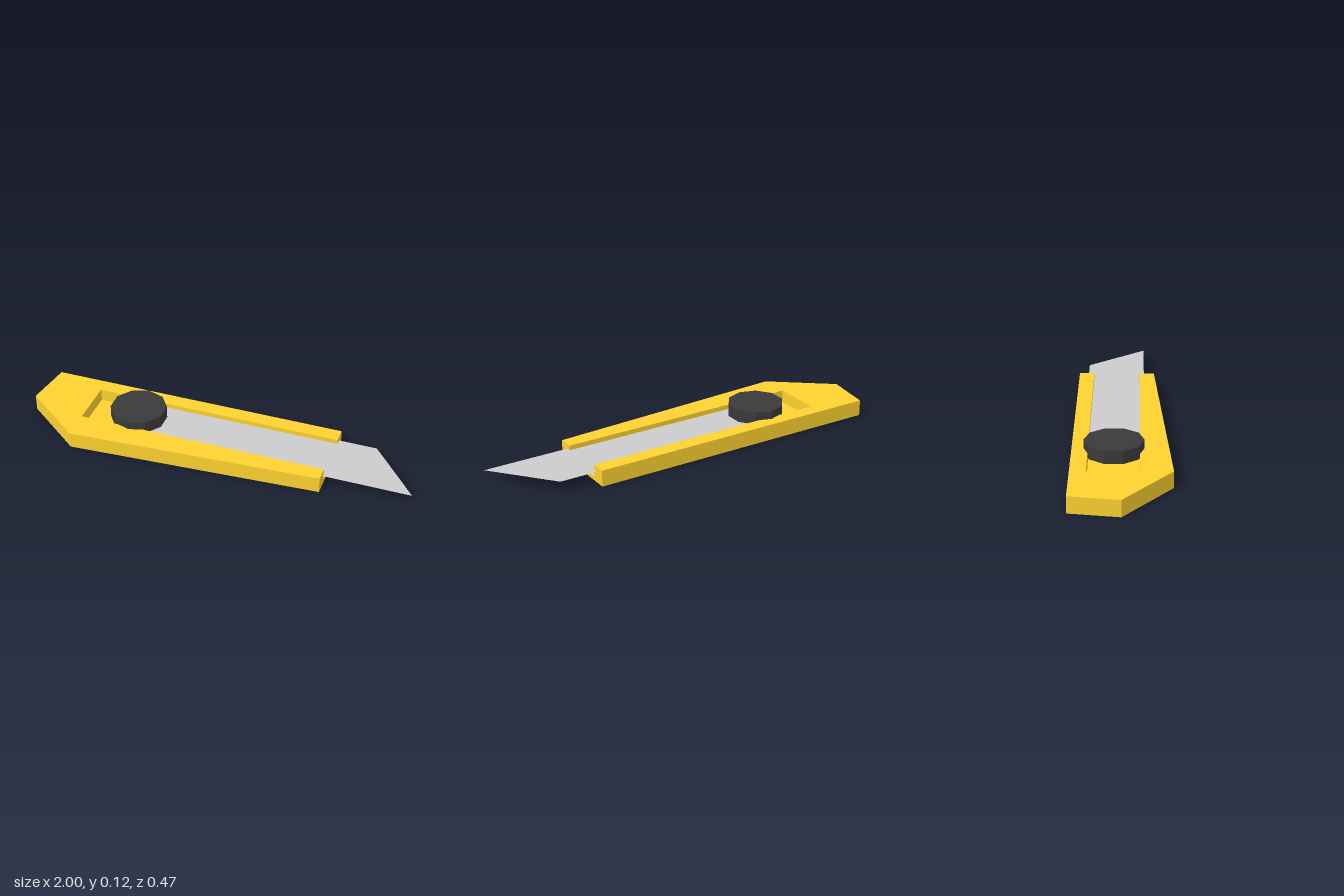
import * as THREE from 'three';

// Shape from [x, z] corners; lies flat after layFlat()
const outline = (pts) => new THREE.Shape(pts.map(([x, z]) => new THREE.Vector2(x, -z)));
const layFlat = (geometry) => geometry.rotateX(-Math.PI / 2);

export function createModel() {
  const group = new THREE.Group();
  const yellow = new THREE.MeshStandardMaterial({ color: 0xfdd230 });
  const black = new THREE.MeshStandardMaterial({ color: 0x3a3a3a, flatShading: true });
  const grey = new THREE.MeshStandardMaterial({ color: 0xcccccc, side: THREE.DoubleSide });

  const add = (name, geometry, material, x = 0, y = 0, z = 0) => {
    const mesh = new THREE.Mesh(geometry, material);
    mesh.name = name;
    mesh.position.set(x, y, z);
    group.add(mesh);
  };

  const mouth = 0.562, slotBack = -0.705, slotMin = -0.16, slotMax = 0.083;

  // Handle: a U-shaped frame open at the mouth
  const frame = outline([
    [-0.965, -0.236], [-1, 0.002], [-0.703, 0.234], [mouth, 0.158],
    [mouth, slotMax], [slotBack, slotMax], [slotBack, slotMin],
    [mouth, slotMin], [mouth, -0.236],
  ]);
  add('handleFrame', layFlat(new THREE.ExtrudeGeometry(frame, { depth: 0.082, bevelEnabled: false })), yellow);

  // Floor of the slot
  const floorHeight = 0.018;
  add('slotFloor', new THREE.BoxGeometry(mouth - slotBack, floorHeight, slotMax - slotMin), yellow,
    (mouth + slotBack) / 2, floorHeight / 2, (slotMin + slotMax) / 2);

  // Thin blade, its edges held inside the rails
  const blade = outline([[-0.45, -0.19], [-0.45, 0.105], [1, 0.105], [0.755, -0.19]]);
  add('blade', layFlat(new THREE.ShapeGeometry(blade)), grey, 0, 0.058, 0);

  // Ten-sided slider knob
  add('sliderKnob', new THREE.CylinderGeometry(0.142, 0.142, 0.064, 10), black, -0.443, 0.093, -0.038);

  return group;
}
